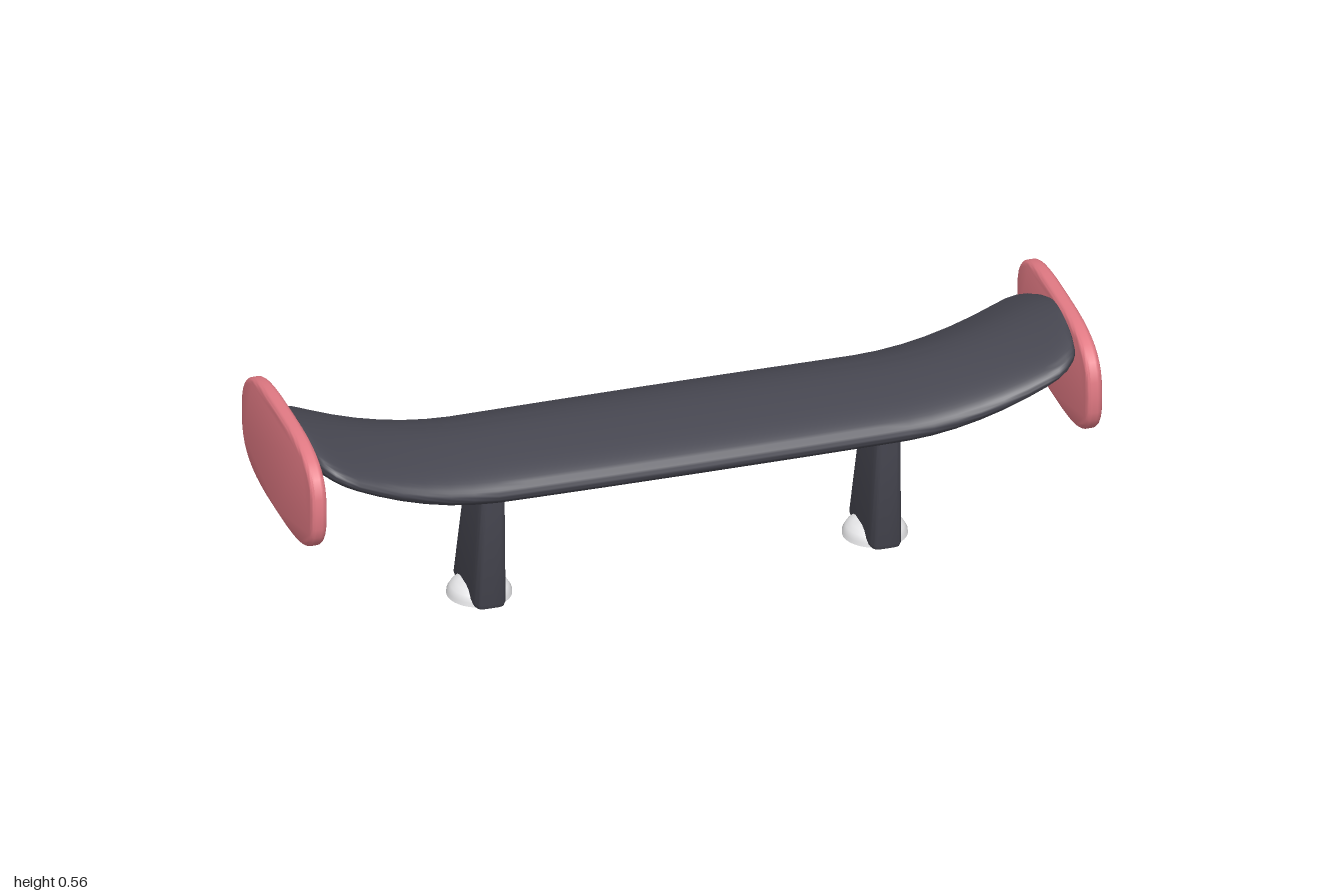
import * as THREE from 'three';
import { mergeVertices, toCreasedNormals } from 'three/addons/utils/BufferGeometryUtils.js';

const paint = (name, color) => {
  const m = new THREE.MeshStandardMaterial({ color });
  m.name = name;
  return m;
};

// Skins a list of closed rings (counter-clockwise seen from the last ring) and caps both ends
function loft(rings, crease) {
  const n = rings[0].length, last = rings.length - 1;
  const points = rings.flat(), index = [];
  for (let i = 0; i < last; i++) {
    for (let j = 0; j < n; j++) {
      const a = i * n + j, b = i * n + (j + 1) % n;
      index.push(a, b, b + n, a, b + n, a + n);
    }
  }
  for (const i of [0, last]) {
    const centre = new THREE.Vector3();
    rings[i].forEach(p => centre.addScaledVector(p, 1 / n));
    const c = points.push(centre) - 1;
    for (let j = 0; j < n; j++) {
      const a = i * n + j, b = i * n + (j + 1) % n;
      if (i === 0) index.push(c, b, a);
      else index.push(c, a, b);
    }
  }
  const g = new THREE.BufferGeometry().setFromPoints(points);
  g.setIndex(index);
  return toCreasedNormals(g, crease);
}

// Point on a squared-off ellipse
function squircle(angle, a, b, power) {
  const c = Math.cos(angle), s = Math.sin(angle), e = 2 / power;
  return [Math.sign(c) * a * Math.abs(c) ** e, Math.sign(s) * b * Math.abs(s) ** e];
}

// Wing: flat-bottomed aerofoil section [z, y] with a low thin rear edge,
// swept across x with upturned ends and rounded corners
function wingGeometry() {
  const profile = [
    [0.27, 0.378], [0.26, 0.4], [0.225, 0.421], [0.15, 0.441], [0.05, 0.45],
    [-0.03, 0.439], [-0.11, 0.408], [-0.18, 0.37], [-0.203, 0.355], [-0.2, 0.348],
    [-0.17, 0.346], [-0.05, 0.346], [0.1, 0.345], [0.2, 0.346], [0.25, 0.355],
  ].reverse().map(([z, y]) => new THREE.Vector3(0, y, z));
  const section = new THREE.CatmullRomCurve3(profile, true).getPoints(60).slice(0, -1);

  const half = [0.25, 0.45, 0.52, 0.58, 0.64, 0.7, 0.76, 0.82, 0.87, 0.9, 0.925, 0.945, 0.955, 0.96];
  const stations = [...half.map(x => -x).reverse(), 0, ...half];
  const rings = stations.map(x => {
    const ax = Math.abs(x);
    const s = Math.max(0, (ax - 0.5) / 0.46);
    const q = Math.max(0, (ax - 0.88) / 0.08);
    const corner = 0.08 * (1 - Math.sqrt(Math.max(0, 1 - q * q)));
    const chord = 1 - 0.055 * (ax / 0.9) ** 2 - corner / 0.235;
    const rise = 0.1 * s ** 2, thick = 1 - 0.35 * s * s;
    return section.map(p => new THREE.Vector3(
      x, 0.45 + rise + (p.y - 0.45) * thick, 0.035 + (p.z - 0.035) * chord));
  });
  return loft(rings, 1.0);
}

// Strut: tapered, swept rounded block given by [y, half width, front z, back z]
function strutGeometry() {
  const levels = [
    [0.002, 0.03, 0.13, -0.045], [0.008, 0.038, 0.142, -0.055], [0.02, 0.041, 0.147, -0.06],
    [0.28, 0.033, 0.16, 0.003], [0.37, 0.03, 0.164, 0.025],
  ];
  const rings = levels.map(([y, w, front, back]) => Array.from({ length: 40 }, (_, i) => {
    const [x, z] = squircle(i / 40 * Math.PI * 2, w, (front - back) / 2, 6);
    return new THREE.Vector3(x, y, (front + back) / 2 - z);
  }));
  return loft(rings, 0.7);
}

// End plate: rounded tablet with softened rims, thickness along x
function plateGeometry() {
  const bevel = 0.014, depth = 0.04;
  const outline = Array.from({ length: 40 }, (_, i) =>
    new THREE.Vector2(...squircle(i / 40 * Math.PI * 2, 0.288 - bevel, 0.1425 - bevel, 3.1)));
  const g = new THREE.ExtrudeGeometry(new THREE.Shape(outline), {
    depth: depth - 2 * bevel, bevelSize: bevel, bevelThickness: bevel, bevelSegments: 4,
  });
  g.translate(0, 0, bevel - depth / 2);
  g.rotateY(Math.PI / 2);
  g.deleteAttribute('uv');
  g.deleteAttribute('normal');
  return toCreasedNormals(mergeVertices(g), 0.7);
}

// Foot: low domed disc
function footGeometry() {
  const profile = [[0, 0], [0.08, 0], [0.079, 0.01], [0.071, 0.024], [0.06, 0.034], [0.047, 0.04], [0, 0.04]];
  const g = new THREE.LatheGeometry(profile.map(p => new THREE.Vector2(...p)), 32);
  return toCreasedNormals(g, 0.7);
}

export function createModel() {
  const charcoal = paint('charcoal', 0x474751);
  const coral = paint('coral red', 0xe27a84);
  const white = paint('off white', 0xe8e8ea);

  const model = new THREE.Group();
  model.name = 'rearWing';
  const add = (name, geometry, material, x = 0, y = 0, z = 0) => {
    const mesh = new THREE.Mesh(geometry, material);
    mesh.name = name;
    mesh.position.set(x, y, z);
    model.add(mesh);
  };

  add('wing', wingGeometry(), charcoal);
  const plate = plateGeometry(), strut = strutGeometry(), foot = footGeometry();
  for (const [side, s] of [['left', 1], ['right', -1]]) {
    add(side + 'EndPlate', plate, coral, 0.98 * s, 0.4175, 0);
    add(side + 'Strut', strut, charcoal, 0.5 * s);
    add(side + 'Foot', foot, white, 0.5 * s, 0, 0.04);
  }
  return model;
}
